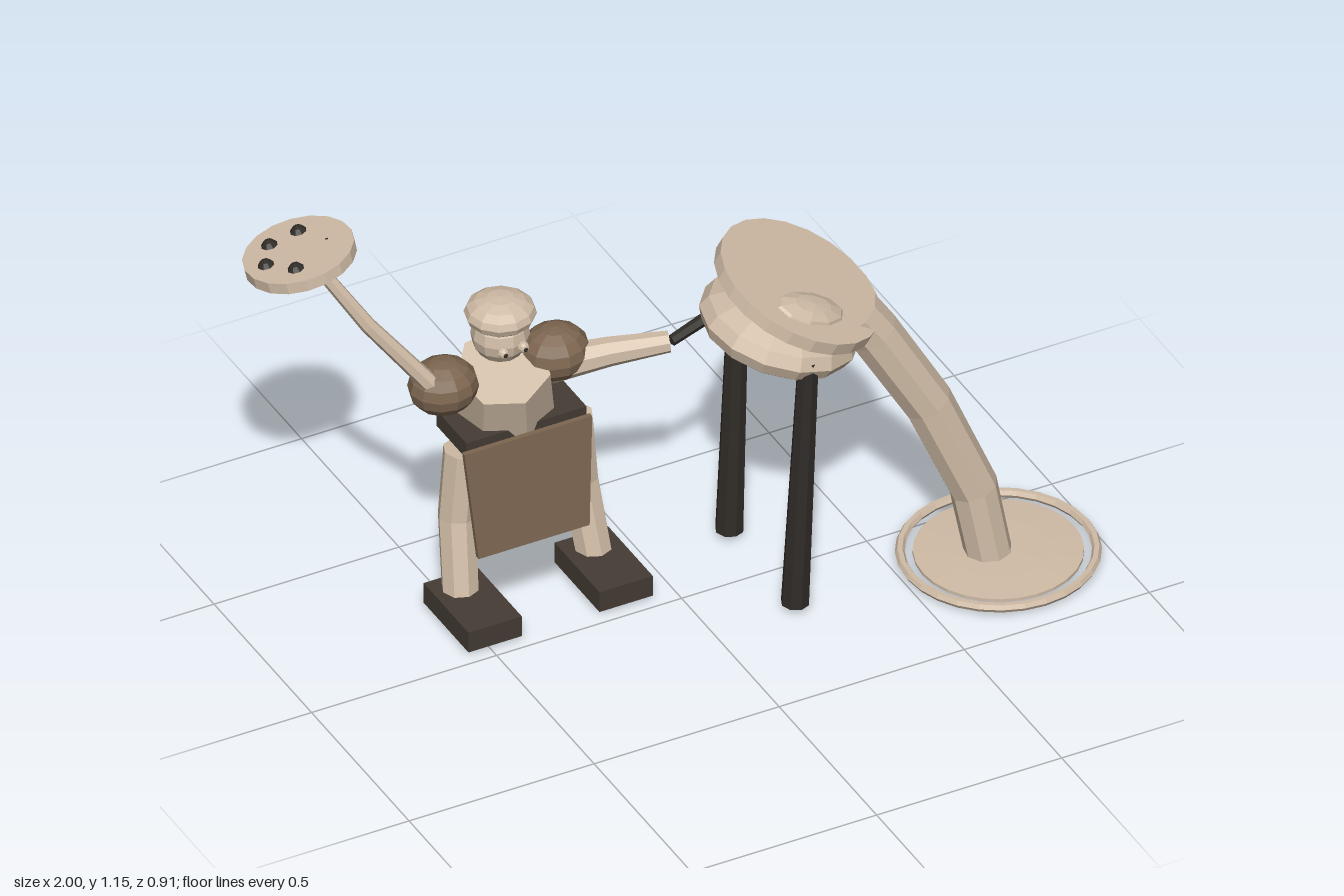
import * as THREE from 'three';

const V = (a) => new THREE.Vector3(...a);
const UP = new THREE.Vector3(0, 1, 0);

export function createModel() {
  const group = new THREE.Group();
  const material = (name, color) => {
    const m = new THREE.MeshStandardMaterial({ color });
    m.name = name;
    return m;
  };
  const tan = material('paleClay', 0xd0bca6);
  const brown = material('leatherBrown', 0x7d6650);
  const boot = material('darkBrown', 0x443c34);
  const black = material('charcoal', 0x302c28);

  // Adds a faceted mesh
  function add(name, geometry, mat, pos = [0, 0, 0], normal = null) {
    const g = geometry.index ? geometry.toNonIndexed() : geometry;
    g.computeVertexNormals();
    const mesh = new THREE.Mesh(g, mat);
    mesh.name = name;
    mesh.position.set(...pos);
    if (normal) mesh.quaternion.setFromUnitVectors(UP, V(normal).normalize());
    group.add(mesh);
    return mesh;
  }
  const box = (name, mat, min, max) => add(name,
    new THREE.BoxGeometry(max[0] - min[0], max[1] - min[1], max[2] - min[2]), mat,
    min.map((v, i) => (v + max[i]) / 2));
  const ball = (name, mat, pos, r, normal, w = 12, h = 8) =>
    add(name, new THREE.SphereGeometry(1, w, h).scale(...r), mat, pos, normal);

  // Tapered limb: a cylinder whose rings follow a path
  function limb(name, mat, points, r0, r1, sides = 8) {
    const n = points.length - 1;
    const geo = new THREE.CylinderGeometry(r1, r0, 1, sides, n);
    const pts = points.map(V);
    const frames = pts.map((p, i) => new THREE.Quaternion().setFromUnitVectors(UP,
      pts[Math.min(i + 1, n)].clone().sub(pts[Math.max(i - 1, 0)]).normalize()));
    const at = geo.attributes.position;
    const v = new THREE.Vector3();
    for (let i = 0; i < at.count; i++) {
      const k = Math.round((at.getY(i) + 0.5) * n);
      v.set(at.getX(i), 0, at.getZ(i)).applyQuaternion(frames[k]).add(pts[k]);
      at.setXYZ(i, v.x, v.y, v.z);
    }
    return add(name, geo, mat);
  }

  // Figure: torso, belt and apron
  limb('torso', tan, [[-0.315, 0.39, -0.315], [-0.37, 0.675, -0.212]], 0.132, 0.115, 7);
  box('belt', boot, [-0.5, 0.485, -0.307], [-0.175, 0.53, -0.155]);
  const apron = new THREE.BoxGeometry(0.345, 0.295, 0.013);
  const ap = apron.attributes.position;
  for (let i = 0; i < ap.count; i++) {
    const y = ap.getY(i);
    if (y < 0) ap.setX(i, ap.getX(i) * 0.87);
    ap.setZ(i, ap.getZ(i) - y * 0.1);
  }
  add('apron', apron, brown, [-0.378, 0.42, -0.06]);

  // Legs and feet, mirrored about the hips
  const hip = -0.31;
  for (const s of [-1, 1]) {
    limb('leg', tan, [[hip + s * 0.18, 0.06, -0.205], [hip + s * 0.165, 0.25, -0.25],
      [hip + s * 0.148, 0.44, -0.25]], 0.046, 0.05);
    const x = hip + s * 0.177;
    box('foot', boot, [x - 0.072, 0.012, -0.262], [x + 0.072, 0.07, -0.032]);
  }

  // Head, cap and eyes
  ball('head', tan, [-0.39, 0.798, -0.19], [0.072, 0.072, 0.072]);
  ball('cap', tan, [-0.39, 0.86, -0.19], [0.088, 0.045, 0.088]);
  for (const s of [-1, 1]) {
    const x = -0.392 + s * 0.027;
    ball('eye', tan, [x, 0.792, -0.12], [0.015, 0.015, 0.015], null, 8, 6);
    ball('pupil', black, [x, 0.792, -0.106], [0.006, 0.006, 0.004], null, 6, 4);
  }

  // Shoulders and arms
  for (const x of [-0.53, -0.228])
    ball('shoulder', brown, [x, 0.673, -0.217], [0.088, 0.071, 0.08]);
  limb('raisedArm', tan, [[-0.54, 0.66, -0.18], [-0.715, 0.89, -0.25], [-0.845, 1.1, -0.32]], 0.024, 0.016, 7);
  limb('reachingArm', tan, [[-0.25, 0.645, -0.205], [-0.11, 0.667, -0.16], [0.025, 0.683, -0.11]], 0.046, 0.027);
  limb('stick', black, [[0.03, 0.683, -0.11], [0.24, 0.728, -0.145]], 0.014, 0.018, 6);

  // Raised plate with studs passing through it
  const plateN = [-0.2, 1, -0.13];
  const plateC = [-0.865, 1.105, -0.318];
  add('raisedPlate', new THREE.CylinderGeometry(0.138, 0.138, 0.03, 18), tan, plateC, plateN);
  for (const [x, z] of [[-0.95, -0.32], [-0.905, -0.388], [-0.827, -0.388], [-0.905, -0.252], [-0.79, -0.305]]) {
    const y = 1.102 + (x - plateC[0]) * 0.2 + (z - plateC[2]) * 0.13;
    const low = x > -0.8 ? 0.015 : 0;
    ball('stud', black, [x, y - low, z], [0.025, 0.034, 0.025], plateN, 8, 6);
  }

  // Tilted bowl body with a large lid and a bump on it
  const lidN = [0.43, 1, 0.26];
  ball('bowlBody', tan, [0.258, 0.735, 0.01], [0.2, 0.085, 0.2], [0.28, 1, 0.1], 14, 8);
  add('lid', new THREE.CylinderGeometry(0.215, 0.215, 0.035, 22), tan, [0.3, 0.838, 0.025], lidN);
  ball('lidBump', tan, [0.28, 0.832, 0.12], [0.105, 0.03, 0.062], lidN, 10, 6);

  // Two dark stand legs
  limb('standLeg', black, [[0.222, 0.02, -0.177], [0.25, 0.735, -0.182]], 0.035, 0.026);
  limb('standLeg', black, [[0.222, 0.02, 0.16], [0.25, 0.735, 0.175]], 0.035, 0.026);

  // Curved neck running down to the base
  limb('neck', tan, [[0.725, 0.025, 0.197], [0.695, 0.215, 0.178], [0.585, 0.485, 0.148],
    [0.455, 0.715, 0.117], [0.41, 0.78, 0.105]], 0.058, 0.066, 9);

  // Round base dish inside a loose ring
  const dish = [[0, 0.004], [0.12, 0.008], [0.205, 0.02], [0.205, 0.028], [0.12, 0.032], [0, 0.034]]
    .map(([r, y]) => new THREE.Vector2(r, y));
  add('baseDish', new THREE.LatheGeometry(dish, 28), tan, [0.748, 0, 0.205]);
  add('baseRing', new THREE.TorusGeometry(0.236, 0.012, 6, 28).rotateX(Math.PI / 2), tan, [0.748, 0.026, 0.205]);

  return group;
}
